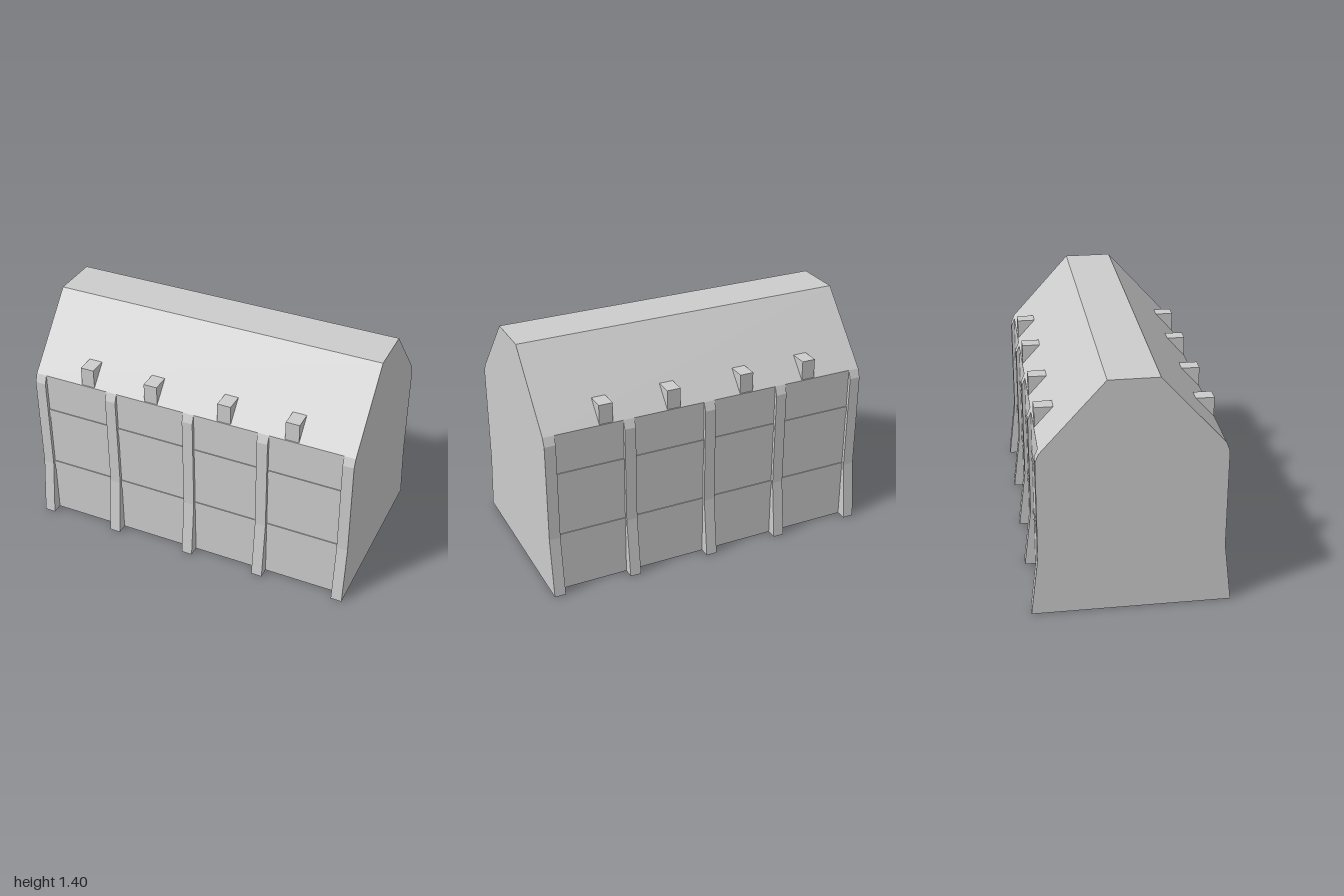
import * as THREE from 'three';
import { mergeGeometries } from 'three/addons/utils/BufferGeometryUtils.js';

const material = new THREE.MeshStandardMaterial({
  color: 0xcccccc, flatShading: true, side: THREE.DoubleSide,
});

// Sweeps an open [z, y] profile along x; optionally fills both ends.
function sweep(profile, width, ends = true) {
  const h = width / 2;
  const positions = [];
  for (let i = 0; i < profile.length - 1; i++) {
    const [z0, y0] = profile[i];
    const [z1, y1] = profile[i + 1];
    const a = [-h, y0, z0], b = [h, y0, z0], c = [h, y1, z1], d = [-h, y1, z1];
    positions.push(...a, ...b, ...c, ...a, ...c, ...d);
  }
  const side = new THREE.BufferGeometry();
  side.setAttribute('position', new THREE.Float32BufferAttribute(positions, 3));
  side.computeVertexNormals();
  const parts = [side];
  if (ends) {
    for (const s of [-1, 1]) {
      const shape = new THREE.Shape(profile.map(([z, y]) => new THREE.Vector2(-s * z, y)));
      const cap = new THREE.ShapeGeometry(shape).toNonIndexed();
      cap.deleteAttribute('uv');
      cap.rotateY(s * Math.PI / 2).translate(s * h, 0, 0);
      parts.push(cap);
    }
  }
  return mergeGeometries(parts);
}

function addPart(parent, name, geometry, x = 0) {
  const mesh = new THREE.Mesh(geometry, material);
  mesh.name = name;
  mesh.position.x = x;
  parent.add(mesh);
}

export function createModel() {
  const model = new THREE.Group();
  model.name = 'gabledHall';

  // Hollow walls and roof, open underneath
  addPart(model, 'wallsAndRoof', sweep([
    [0.5, 0], [0.5, 1], [0.14, 1.4], [-0.14, 1.4], [-0.5, 1], [-0.5, 0],
  ], 2));

  // Buttress posts flare at the foot and are chamfered at the top
  const post = sweep([
    [0.49, 0], [0.49, 0], [0.563, 0], [0.52, 0.36], [0.52, 0.95], [0.5, 1], [0.49, 1],
  ].slice(2).concat([[0.49, 0]]), 0.066);
  // Shallow rails with flanges running into the interior
  const rail = (y) => sweep([[0.46, y], [0.505, y], [0.505, y + 0.055], [0.46, y + 0.055]], 1.99, false);
  const rails = [rail(0.315), rail(0.705)];
  // Wedge dormers sitting on the roof slope
  const dormer = sweep([[0.497, 1.003], [0.497, 1.12], [0.392, 1.12]], 0.082);

  for (const back of [false, true]) {
    const side = new THREE.Group();
    side.name = back ? 'backSide' : 'frontSide';
    side.rotation.y = back ? Math.PI : 0;
    for (const x of [-0.967, -0.497, 0, 0.462, 0.967]) addPart(side, 'buttressPost', post, x);
    for (const geometry of rails) addPart(side, 'wallRail', geometry);
    // Dormers line up across the ridge
    for (const x of [-0.65, -0.24, 0.22, 0.63]) addPart(side, 'dormer', dormer, back ? -x : x);
    model.add(side);
  }
  return model;
}
